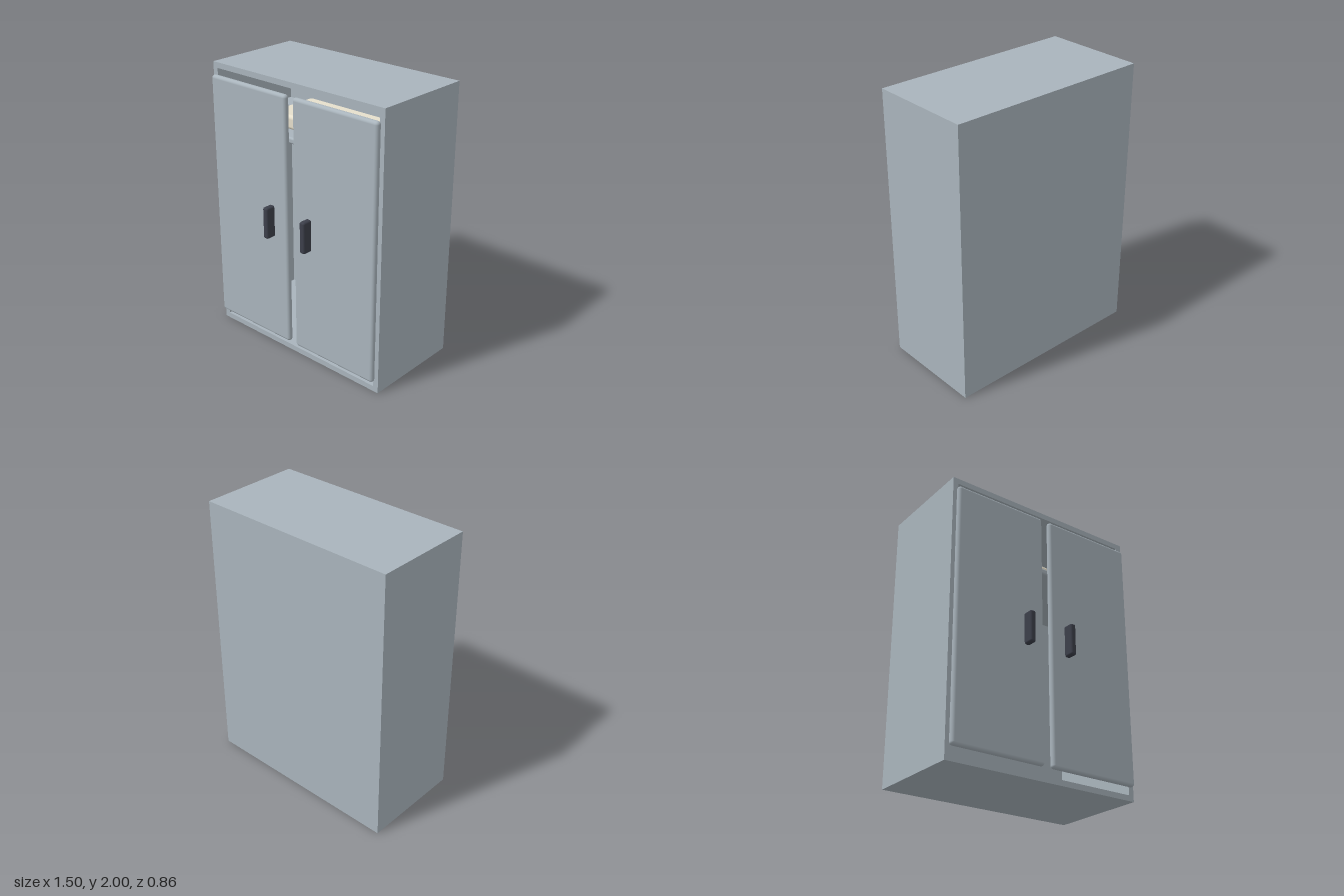
import * as THREE from 'three';
import { RoundedBoxGeometry } from 'three/addons/geometries/RoundedBoxGeometry.js';

const steel = new THREE.MeshStandardMaterial({ color: 0xa9b4bc });
const dark = new THREE.MeshStandardMaterial({ color: 0x3c3f4a });
const cream = new THREE.MeshStandardMaterial({ color: 0xe6dfcc });

// Box given by its two opposite corners; radius > 0 rounds the edges
function block(name, material, min, max, radius = 0) {
  const size = max.map((v, i) => v - min[i]);
  const geometry = radius
    ? new RoundedBoxGeometry(...size, 5, radius)
    : new THREE.BoxGeometry(...size);
  const mesh = new THREE.Mesh(geometry, material);
  mesh.name = name;
  mesh.position.set(...max.map((v, i) => (v + min[i]) / 2));
  return mesh;
}

export function createModel() {
  const cabinet = new THREE.Group();
  cabinet.name = 'cabinet';

  const W = 0.75, H = 2, T = 0.04;
  const front = 0.315, back = -0.43;

  // Open-fronted case
  cabinet.add(
    block('leftWall', steel, [W - T, 0, back], [W, H, front]),
    block('rightWall', steel, [-W, 0, back], [-W + T, H, front]),
    block('topPanel', steel, [-W + T, H - T, back], [W - T, H, front]),
    block('bottomPanel', steel, [-W + T, 0, back], [W - T, T, front]),
    block('backPanel', steel, [-W + T, T, back], [W - T, H - T, back + T])
  );

  // Upper shelf with a folded blanket on it
  cabinet.add(
    block('shelf', steel, [-W + T, 1.55, back + T], [W - T, 1.595, 0.255], 0.015),
    block('foldedBlanket', cream, [-0.37, 1.595, -0.25], [0.47, 1.695, 0.15], 0.025)
  );

  // Two doors with upright grips
  for (const [side, s] of [['left', 1], ['right', -1]]) {
    const door = new THREE.Group();
    door.name = side + 'Door';
    const x0 = s > 0 ? 0.03 : -0.73, x1 = s > 0 ? 0.73 : -0.03;
    door.add(
      block(side + 'DoorPanel', steel, [x0, 0.09, 0.315], [x1, 1.92, 0.36], 0.022),
      block(side + 'Handle', dark, [s * 0.17 - 0.022, 0.89, 0.35], [s * 0.17 + 0.022, 1.12, 0.43], 0.014)
    );
    cabinet.add(door);
  }

  return cabinet;
}
